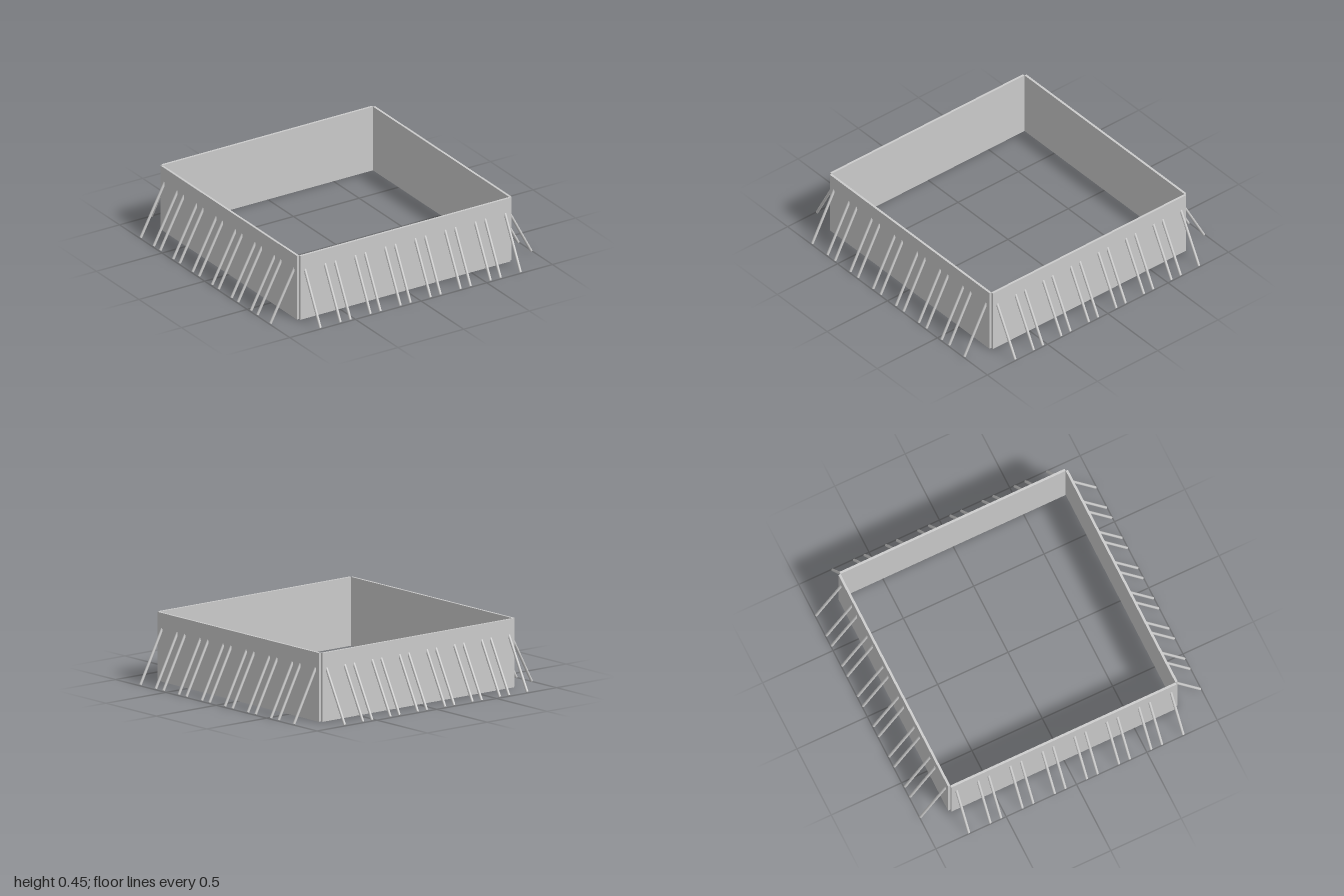
import * as THREE from 'three';

const INNER = 0.8, THICK = 0.016, HEIGHT = 0.45;
const PANELS = 7, RADIUS = 0.009;

export function createModel() {
  const model = new THREE.Group();
  model.name = 'bracedFrame';
  const material = new THREE.MeshStandardMaterial({ color: 0xcccccc });

  const wallGeometry = new THREE.BoxGeometry(2 * INNER, HEIGHT, THICK);

  // Sloping brace from inside the wall down to the ground
  const top = new THREE.Vector3(0, 0.348, INNER + 0.009);
  const foot = new THREE.Vector3(0, 0.004, 0.992);
  const direction = top.clone().sub(foot);
  const braceGeometry = new THREE.CylinderGeometry(RADIUS, RADIUS, direction.length(), 16);
  braceGeometry.applyQuaternion(new THREE.Quaternion().setFromUnitVectors(
    new THREE.Vector3(0, 1, 0), direction.clone().normalize()));
  const middle = top.clone().add(foot).multiplyScalar(0.5);

  // Four equal sides, leaving a small open notch at each outer corner
  ['front', 'left', 'back', 'right'].forEach((name, i) => {
    const side = new THREE.Group();
    side.name = name + 'Side';
    side.rotation.y = i * Math.PI / 2;

    const wall = new THREE.Mesh(wallGeometry, material);
    wall.name = 'wall';
    wall.position.set(0, HEIGHT / 2, INNER + THICK / 2);
    side.add(wall);

    // A pair of braces for each panel of the wall
    const pitch = 2 * INNER / PANELS;
    for (let p = 0; p < PANELS; p++) {
      for (const s of [-1, 1]) {
        const brace = new THREE.Mesh(braceGeometry, material);
        brace.name = 'brace';
        brace.position.copy(middle);
        brace.position.x = (p - (PANELS - 1) / 2) * pitch + s * pitch / 3;
        side.add(brace);
      }
    }
    model.add(side);
  });
  return model;
}
